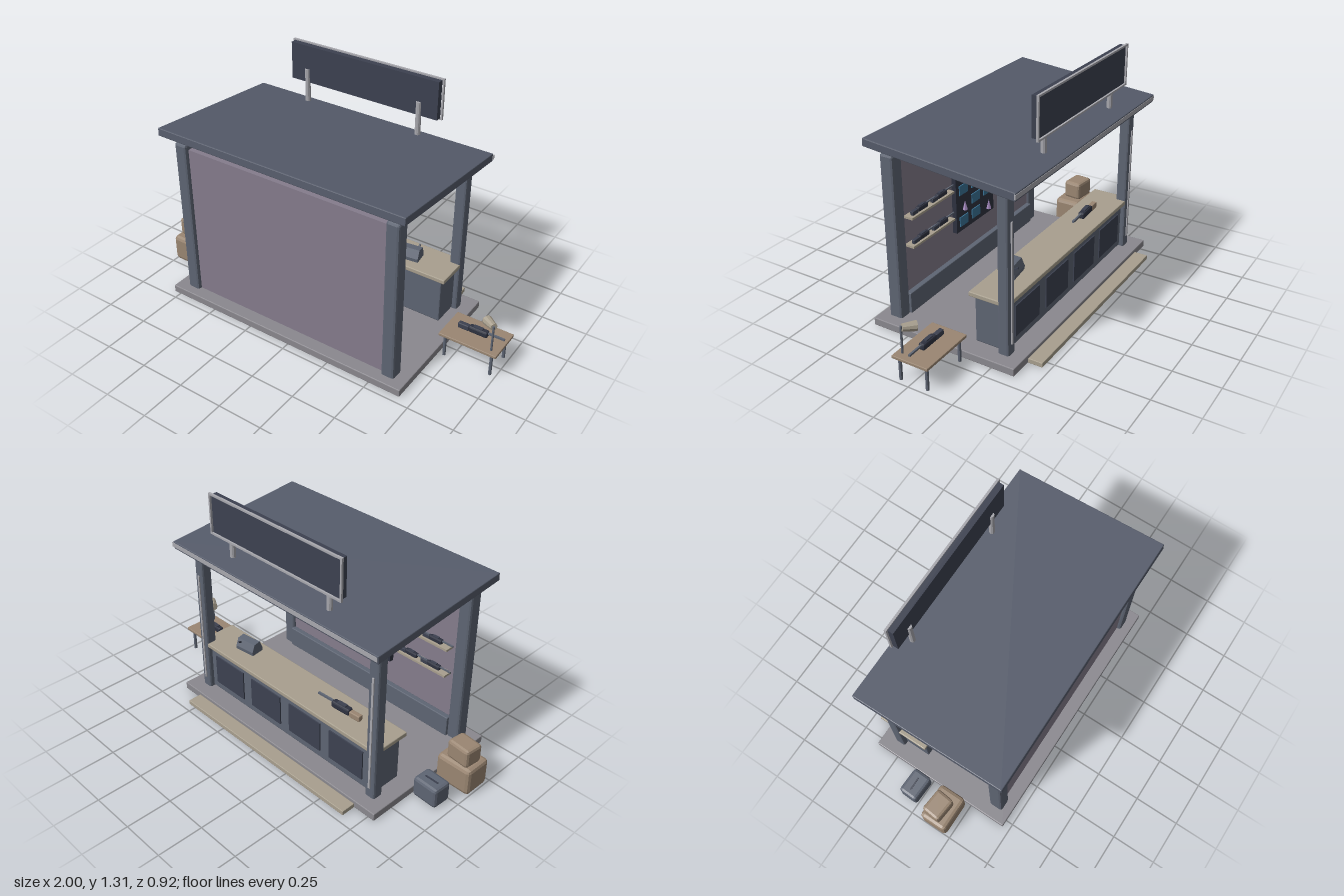
import * as THREE from 'three';
import { RoundedBoxGeometry } from 'three/addons/geometries/RoundedBoxGeometry.js';

const paint = color => new THREE.MeshStandardMaterial({ color, flatShading: true, side: THREE.DoubleSide });
const steel = paint(0x5e6573), dark = paint(0x3c4150), black = paint(0x2e3240), wallPaint = paint(0x857c8c),
  slab = paint(0x8a888e), roofPaint = paint(0x555b6a), wood = paint(0x9a8672), pale = paint(0xa89f8e),
  light = paint(0xa8a8ae), blue = paint(0x3a7396), pink = paint(0xa58abf);

export function createModel() {
  const model = new THREE.Group();
  model.name = 'marketStall';

  const add = (name, geometry, material, x, y, z, parent = model) => {
    const mesh = new THREE.Mesh(geometry, material);
    mesh.name = name;
    mesh.position.set(x, y, z);
    parent.add(mesh);
    return mesh;
  };
  // Box given by its limits along each axis, with an optional bevel
  const box = (name, material, [x0, x1], [y0, y1], [z0, z1], bevel = 0, parent = model) => {
    const s = [x1 - x0, y1 - y0, z1 - z0];
    const g = bevel ? new RoundedBoxGeometry(...s, 1, bevel) : new THREE.BoxGeometry(...s);
    return add(name, g, material, (x0 + x1) / 2, (y0 + y1) / 2, (z0 + z1) / 2, parent);
  };
  // Bevelled box without its underside
  const shell = (...args) => {
    const mesh = box(...args);
    const p = mesh.geometry.attributes.position;
    mesh.geometry.computeBoundingBox();
    const floorY = mesh.geometry.boundingBox.min.y + 1e-4;
    const kept = [];
    for (let i = 0; i < p.count; i += 3) {
      if (Math.max(p.getY(i), p.getY(i + 1), p.getY(i + 2)) > floorY) kept.push(i, i + 1, i + 2);
    }
    mesh.geometry.clearGroups();
    mesh.geometry.setIndex(kept);
    return mesh;
  };
  const rod = (name, material, r, from, to, r2 = r, sides = 8) => {
    const a = new THREE.Vector3(...from), b = new THREE.Vector3(...to);
    const d = b.clone().sub(a);
    const m = add(name, new THREE.CylinderGeometry(r2, r, d.length(), sides), material, 0, 0, 0);
    m.position.copy(a).add(b).multiplyScalar(0.5);
    m.quaternion.setFromUnitVectors(new THREE.Vector3(0, 1, 0), d.normalize());
    return m;
  };

  // Floor, step and sloping roof
  shell('floor', slab, [-0.79, 0.68], [0, 0.042], [-0.38, 0.46], 0.004);
  shell('step', pale, [-0.66, 0.55], [0, 0.026], [-0.46, -0.38], 0.003);
  const roof = box('roof', roofPaint, [-0.78, 0.67], [0.955, 0.998], [-0.387, 0.461], 0.004);
  roof.rotation.x = -0.089;
  box('roofEdge', light, [-0.775, 0.675], [0.93, 0.954], [-0.389, -0.38]);

  // Posts, taller on the wall side and slimmer on the counter side
  for (const x of [-0.688, 0.577]) {
    shell('wallPost', steel, [x - 0.037, x + 0.037], [0.01, 0.948], [0.332, 0.41], 0.013);
    shell('counterPost', steel, [x - 0.031, x + 0.031], [0.01, 0.93], [-0.306, -0.245], 0.011);
    box('postStrip', light, [x - 0.006, x + 0.006], [0.1, 0.76], [-0.312, -0.304]);
  }

  // Wall with its skirting
  box('wall', wallPaint, [-0.665, 0.555], [0.01, 0.917], [0.35, 0.388]);
  box('skirting', steel, [-0.655, 0.545], [0.04, 0.158], [0.32, 0.352], 0.004);

  // Counter with four front panels
  box('counterBody', steel, [-0.69, 0.58], [0.045, 0.312], [-0.278, -0.1], 0.006);
  box('counterTop', pale, [-0.716, 0.606], [0.31, 0.335], [-0.302, -0.08], 0.004);
  for (let i = 0; i < 4; i++) {
    const x = -0.5 + i * 0.297;
    box('counterPanel', dark, [x - 0.115, x + 0.115], [0.09, 0.265], [-0.285, -0.275]);
  }

  // Small long-barrelled item, pointing along its own +x
  const rifle = (x, y, z, scale = 1, turn = 0, stock = dark) => {
    const g = new THREE.Group();
    g.name = 'displayRifle';
    box('receiver', black, [-0.045, 0.06], [0.003, 0.037], [-0.017, 0.017], 0.008, g);
    box('stock', stock, [-0.105, -0.045], [0, 0.03], [-0.013, 0.013], 0.004, g);
    box('barrel', steel, [0.06, 0.15], [0.024, 0.034], [-0.005, 0.005], 0, g);
    box('sight', dark, [-0.02, 0.03], [0.036, 0.043], [-0.01, 0.01], 0, g);
    g.position.set(x, y, z);
    g.scale.setScalar(scale);
    g.rotation.y = turn;
    model.add(g);
  };

  // Wall shelves with goods
  for (const [x0, x1] of [[-0.63, -0.3], [0.17, 0.53]]) {
    for (const y of [0.42, 0.58]) {
      box('shelf', pale, [x0, x1], [y, y + 0.012], [0.296, 0.352]);
      for (const t of [0.27, 0.73]) {
        rifle(x0 + (x1 - x0) * t, y + 0.014, 0.314, 0.75, Math.PI);
      }
    }
  }

  // Display board with cards and hanging cones
  box('displayBoard', black, [-0.24, 0.12], [0.308, 0.725], [0.323, 0.352]);
  const cones = { '0,0': 1, '2,1': 1, '0,2': 1, '2,3': 1 };
  for (let row = 0; row < 4; row++) {
    for (let col = 0; col < 3; col++) {
      const x = 0.055 - col * 0.115, y = 0.645 - row * 0.093;
      if (cones[`${col},${row}`]) add('hangingCone', new THREE.ConeGeometry(0.015, 0.055, 6), pink, x, y, 0.311);
      else box('card', blue, [x - 0.038, x + 0.038], [y - 0.028, y + 0.028], [0.317, 0.324]);
    }
  }

  // Cash register: sloped prism with a lever
  const profile = new THREE.Shape([[-0.038, 0], [0.038, 0], [0.04, 0.02], [0.02, 0.066], [-0.022, 0.062], [-0.04, 0.02]]
    .map(p => new THREE.Vector2(...p)));
  const till = new THREE.Group();
  till.name = 'cashRegister';
  const tillGeo = new THREE.ExtrudeGeometry(profile, { depth: 0.12, bevelEnabled: false });
  tillGeo.translate(0, 0, -0.06).rotateY(-Math.PI / 2);
  add('registerBody', tillGeo, steel, 0, 0, 0, till);
  box('registerLever', dark, [0.03, 0.04], [0.045, 0.053], [-0.05, -0.015], 0, till).rotation.x = 0.5;
  till.position.set(0.35, 0.335, -0.17);
  till.rotation.y = 0.12;
  model.add(till);
  rifle(-0.39, 0.336, -0.19, 1.1, 0.05, wood);

  // Sign above the roof
  box('signPanel', dark, [-0.5, 0.39], [1.098, 1.305], [-0.331, -0.298]);
  for (const y of [1.089, 1.302]) box('signFrameRail', light, [-0.51, 0.402], [y, y + 0.01], [-0.341, -0.329]);
  for (const x of [-0.51, 0.392]) box('signFrameStile', light, [x, x + 0.01], [1.089, 1.312], [-0.341, -0.329]);
  for (const x of [-0.4, 0.283]) rod('signSupport', light, 0.015, [x, 0.99, -0.301], [x, 1.172, -0.301], 0.015, 10);

  // Crates and carry case
  shell('largeCrate', wood, [-1, -0.795], [0.005, 0.16], [0.068, 0.225], 0.02);
  shell('smallCrate', wood, [-0.978, -0.843], [0.16, 0.266], [0.08, 0.187], 0.016).rotation.y = -0.1;
  shell('carryCase', steel, [-0.946, -0.798], [0.003, 0.118], [-0.112, -0.002], 0.016).rotation.y = -0.04;
  box('caseHandle', dark, [-0.912, -0.835], [0.115, 0.122], [0.055 - 0.119, -0.056]);

  // Side table with an item on show
  box('tableTop', wood, [0.68, 1], [0.13, 0.146], [-0.117, 0.088], 0.003);
  for (const x of [0.708, 0.968]) for (const z of [-0.09, 0.064]) {
    rod('tableLeg', steel, 0.009, [x, 0, z], [x, 0.131, z]);
  }
  rifle(0.845, 0.15, -0.014);

  // Desk lamp
  rod('lampPole', steel, 0.006, [0.958, 0.145, 0.055], [0.958, 0.295, 0.055]);
  rod('lampShade', pale, 0.027, [0.9, 0.28, 0.01], [0.957, 0.288, 0.05], 0.019, 10);

  return model;
}
